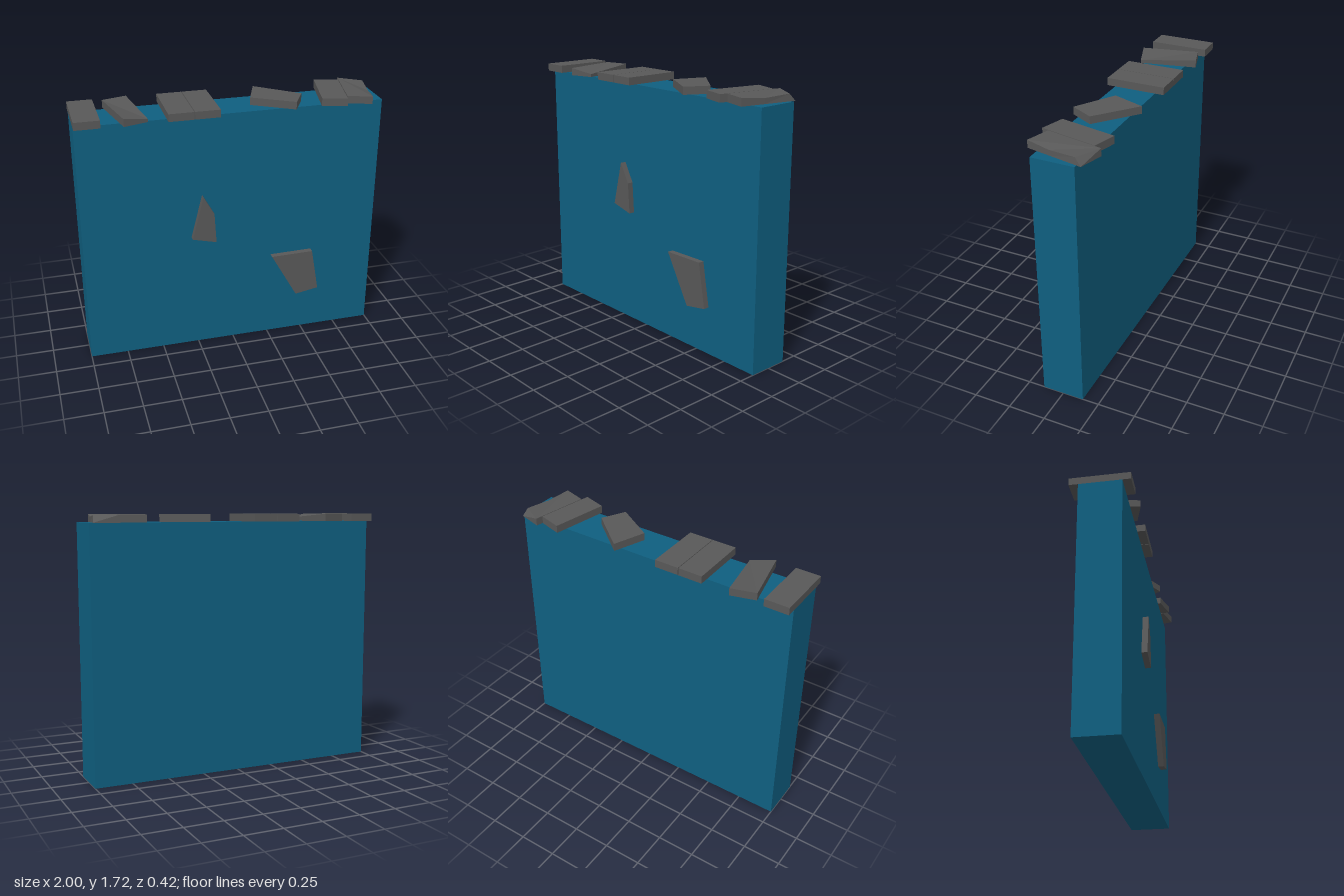
import * as THREE from 'three';

// Closed flat-faced solid between two matching loops, counter-clockwise seen from the top side
function loft(base, top) {
  const n = base.length, p = [];
  const tri = (a, b, c) => p.push(...a, ...b, ...c);
  for (let i = 0; i < n; i++) {
    const j = (i + 1) % n;
    tri(base[i], base[j], top[j]);
    tri(base[i], top[j], top[i]);
    if (i > 0 && i < n - 1) {
      tri(top[0], top[i], top[i + 1]);
      tri(base[0], base[i + 1], base[i]);
    }
  }
  const g = new THREE.BufferGeometry();
  g.setAttribute('position', new THREE.Float32BufferAttribute(p, 3));
  g.computeVertexNormals();
  return g;
}

export function createModel() {
  const group = new THREE.Group();
  const wallPaint = new THREE.MeshStandardMaterial({ color: 0x0f5f80 });
  wallPaint.name = 'blue wall';
  const stone = new THREE.MeshStandardMaterial({ color: 0x585858 });
  stone.name = 'grey stone';

  const add = (name, geometry, material) => {
    const mesh = new THREE.Mesh(geometry, material);
    mesh.name = name;
    group.add(mesh);
  };

  const H = 1.67, TOP = 1.72, D = 0.14;

  // Wall
  add('wall', new THREE.BoxGeometry(2, H, D * 2).translate(0, H / 2, 0), wallPaint);

  // Coping slabs: [x, z, top height] per corner, plus an optional shifted top corner [x, z]
  const straight = (x0, x1) => [[x0, -0.2], [x0, 0.195], [x1, 0.195], [x1, -0.2]];
  const slabs = [
    straight(-1, -0.838),
    [[-0.78, -0.17], [-0.70, 0.207], [-0.545, 0.16, 1.69], [-0.62, -0.215]],
    straight(-0.425, -0.262),
    straight(-0.258, -0.095),
    [[0.22, -0.19], [0.14, 0.025], [0.40, 0.183], [0.483, 0.03]],
    [[0.655, -0.215], [0.578, 0.16], [0.735, 0.207], [0.812, -0.17]],
    // chipped end slab
    [[0.825, -0.215], [0.75, 0.16], [0.905, 0.207], [0.938, 0.05, 1.705], [0.985, -0.17, 1.715, 0.972, -0.13]],
  ];
  slabs.forEach((c, i) => add(`copingSlab${i + 1}`, loft(
    c.map(([x, z]) => [x, H, z]),
    c.map(([x, z, y = TOP, tx = x, tz = z]) => [tx, y, tz])
  ), stone));

  // Stones set into the front face
  const faceStones = [
    [[-0.21, 1.13], [-0.285, 0.83], [-0.125, 0.79], [-0.138, 1.0]],
    [[0.265, 0.62], [0.445, 0.297], [0.605, 0.325], [0.553, 0.625]],
  ];
  faceStones.forEach((c, i) => add(`faceStone${i + 1}`, loft(
    c.map(([x, y]) => [x, y, D]),
    c.map(([x, y]) => [x, y, 0.18])
  ), stone));

  return group;
}
